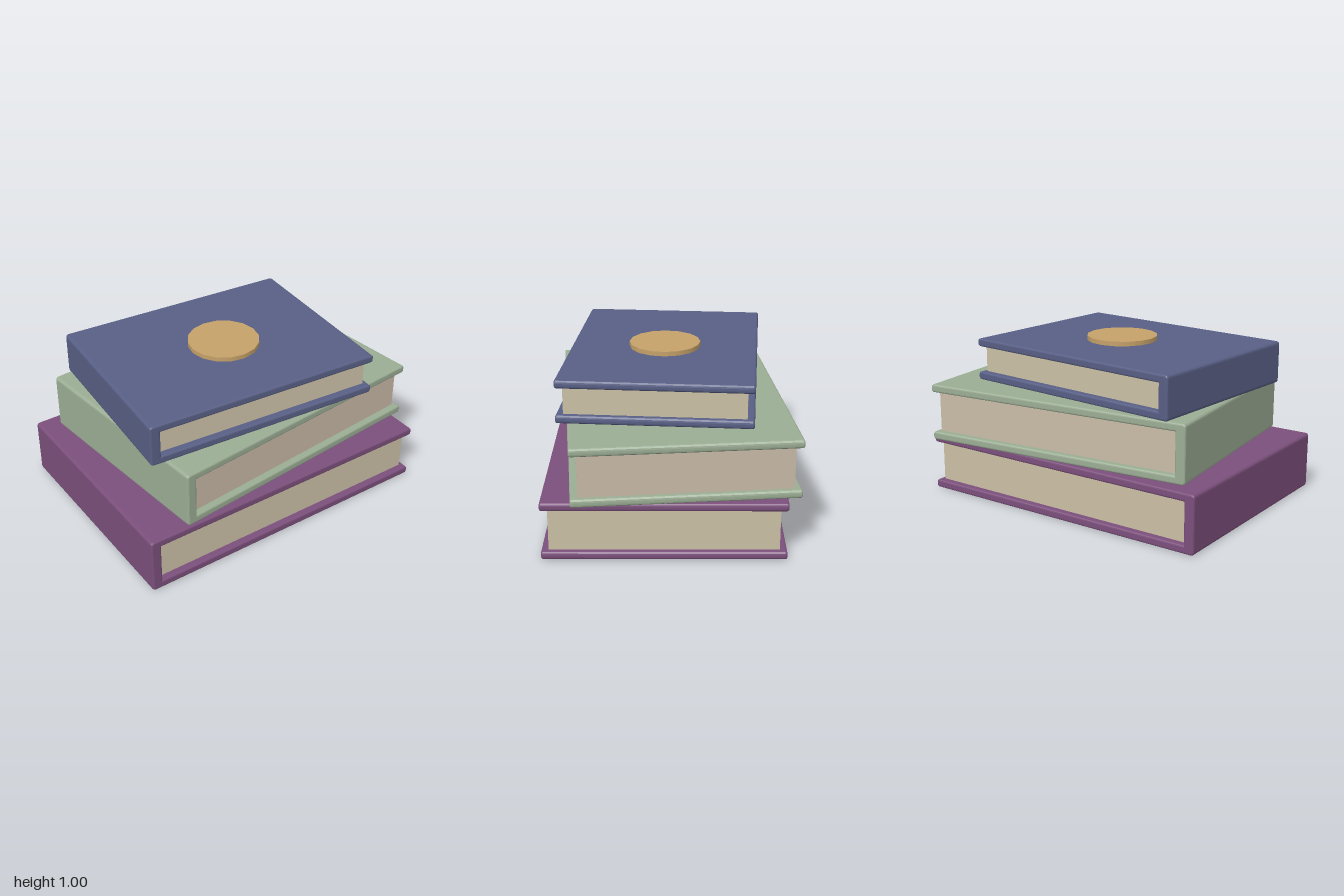
import * as THREE from 'three';

const mat = (name, color) => {
  const m = new THREE.MeshStandardMaterial({ color });
  m.name = name;
  return m;
};

const BOARD = 0.05, SPINE = 0.065, BEVEL = 0.012;

// Closed shape from [x, y, cornerRadius] points, with rounded corners
function roundedShape(points) {
  const shape = new THREE.Shape();
  const n = points.length;
  points.forEach(([x, y, r], i) => {
    const p = new THREE.Vector2(x, y);
    const toward = ([qx, qy]) =>
      new THREE.Vector2(qx, qy).sub(p).setLength(r).add(p);
    const a = toward(points[(i + n - 1) % n]);
    const b = toward(points[(i + 1) % n]);
    if (i === 0) shape.moveTo(a.x, a.y);
    else shape.lineTo(a.x, a.y);
    if (r > 0) shape.quadraticCurveTo(x, y, b.x, b.y);
  });
  shape.closePath();
  return shape;
}

// Two boards and a spine as one C-shaped section, swept along z
function coverGeometry(w, h, d) {
  const x0 = -w / 2 + BEVEL, x1 = w / 2 - BEVEL;
  const xs = -w / 2 + SPINE - BEVEL;
  const y0 = BEVEL, y1 = BOARD - BEVEL;
  const r = 0.008;
  const shape = roundedShape([
    [x0, y0, r], [x1, y0, r], [x1, y1, r], [xs, y1, 0],
    [xs, h - y1, 0], [x1, h - y1, r], [x1, h - y0, r], [x0, h - y0, r],
  ]);
  const depth = d - 2 * BEVEL;
  return new THREE.ExtrudeGeometry(shape, {
    depth, curveSegments: 3, bevelEnabled: true,
    bevelThickness: BEVEL, bevelSize: BEVEL, bevelSegments: 3,
  }).translate(0, 0, -depth / 2);
}

function book({ name, w, h, d, x, y, z, turn, cover, pages }) {
  const g = new THREE.Group();
  g.name = name;
  const shell = new THREE.Mesh(coverGeometry(w, h, d), cover);
  shell.name = name + 'Cover';
  // Page block, set back from the open edges
  const left = -w / 2 + SPINE - 0.005, right = w / 2 - 0.035;
  const block = new THREE.Mesh(
    new THREE.BoxGeometry(right - left, h - 2 * BOARD + 0.004, d - 0.085), pages);
  block.name = name + 'Pages';
  block.position.set((left + right) / 2, h / 2, 0);
  g.add(shell, block);
  g.position.set(x, y, z);
  g.rotation.y = turn;
  return g;
}

export function createModel() {
  const plum = mat('plum cover', 0x7b4f7b);
  const sage = mat('sage cover', 0x9bad94);
  const navy = mat('slate blue cover', 0x585f85);
  const cream = mat('cream paper', 0xcbc0a6);
  const blush = mat('warm paper', 0xc9bba7);
  const gold = mat('gold disc', 0xc5a169);

  const model = new THREE.Group();
  model.name = 'bookStack';
  model.add(
    book({ name: 'bottomBook', w: 1.935, h: 0.355, d: 1.405, x: -0.032, y: 0, z: 0.038, turn: 0, cover: plum, pages: cream }),
    book({ name: 'middleBook', w: 1.753, h: 0.355, d: 1.311, x: 0.058, y: 0.355, z: -0.006, turn: 0.1, cover: sage, pages: blush }),
    book({ name: 'topBook', w: 1.49, h: 0.262, d: 1.143, x: -0.076, y: 0.71, z: 0.036, turn: -0.08, cover: navy, pages: cream }),
  );

  // Round disc lying on the top book
  const disc = new THREE.Mesh(new THREE.CylinderGeometry(0.219, 0.219, 0.03, 16), gold);
  disc.name = 'disc';
  disc.position.set(-0.032, 0.985, 0.038);
  model.add(disc);
  return model;
}
